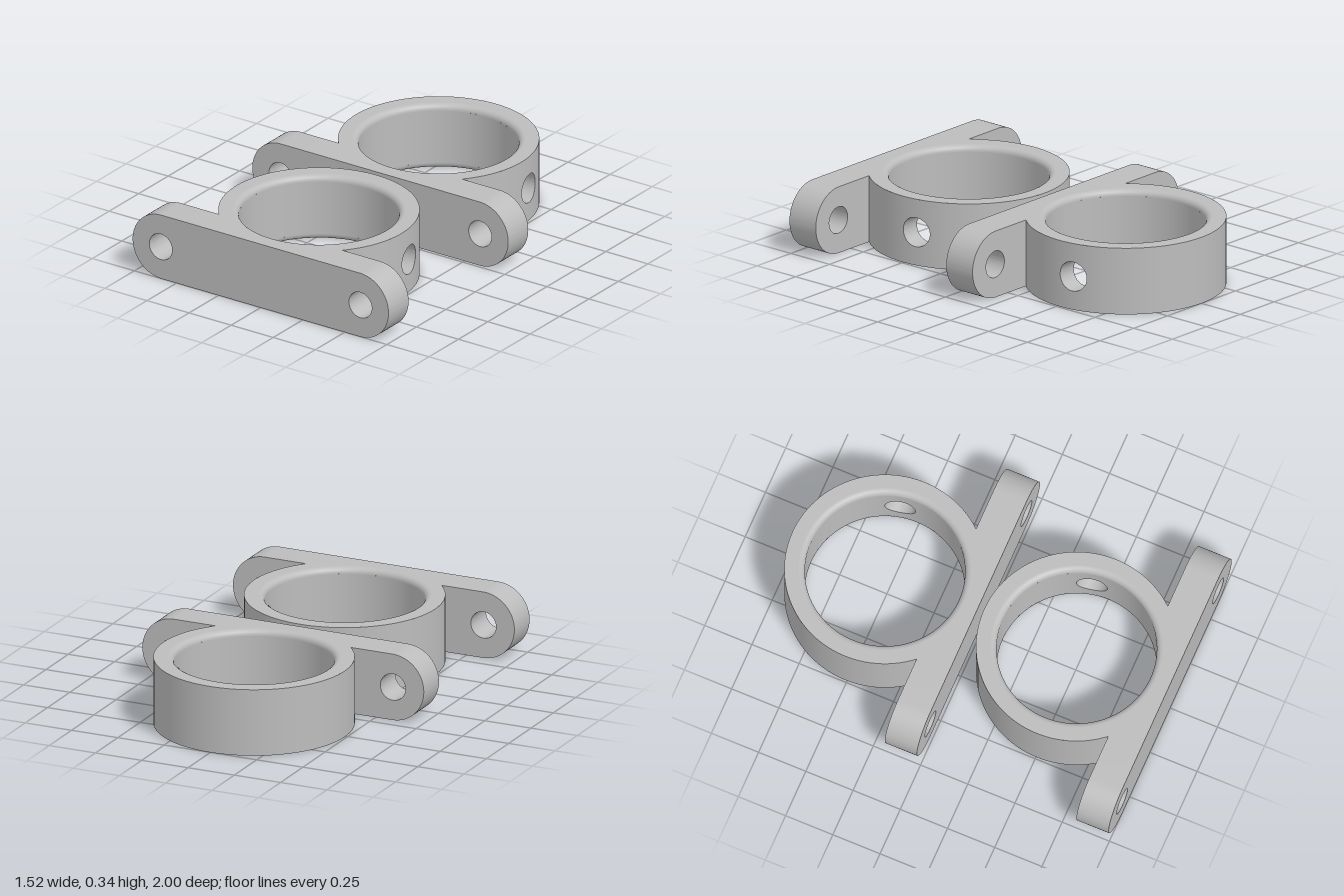
import * as THREE from 'three';
import { toCreasedNormals } from 'three/addons/utils/BufferGeometryUtils.js';
import { ParametricGeometry } from 'three/addons/geometries/ParametricGeometry.js';

const H = 0.34;                       // height of every part
const R = 0.49, BORE = 0.39, F = 0.03; // ring outer radius, bore radius, bore edge rounding
const BACK = 0.325, FRONT = 0.495;    // bar faces, measured from the ring centre
const JOIN = Math.sqrt(R * R - BACK * BACK); // x where the ring meets the bar
const HOLE_Z = -0.08, HOLE_R = 0.075, HALF = 0.1; // side hole and its wall patch

const metal = new THREE.MeshStandardMaterial({ color: 0xbcbcbc, side: THREE.DoubleSide });
metal.name = 'grey metal';

function add(group, name, geometry) {
  const mesh = new THREE.Mesh(geometry, metal);
  mesh.name = name;
  group.add(mesh);
  return mesh;
}

// Revolved wall; points going up face outward, points going down face inward
function wall(points, from = 0, to = Math.PI * 2) {
  const segments = Math.ceil((to - from) / (Math.PI * 2) * 96);
  return new THREE.LatheGeometry(points.map(p => new THREE.Vector2(...p)), segments, from, to - from);
}

// Flat top or bottom face: ring joined to the middle of the bar
function cap(sign) {
  const pts = [];
  const start = Math.acos(BACK / R);
  for (let i = 0; i <= 80; i++) {
    const a = start + (Math.PI * 2 - 2 * start) * i / 80;
    pts.push(new THREE.Vector2(R * Math.sin(a), sign * R * Math.cos(a)));
  }
  pts.push(new THREE.Vector2(-JOIN, sign * FRONT), new THREE.Vector2(JOIN, sign * FRONT));
  const shape = new THREE.Shape(pts);
  shape.holes.push(new THREE.Path().absarc(0, 0, BORE + F, 0, Math.PI * 2, true));
  return new THREE.ShapeGeometry(shape, 48).rotateX(sign * Math.PI / 2);
}

// Patch of ring wall with a cross hole: outer skin, tunnel, inner skin
function holePatch() {
  const rows = 9;
  const geometry = new ParametricGeometry((u, v, target) => {
    const row = Math.round(v * rows);
    const outer = row < 5;
    const t = outer ? row / 4 : (9 - row) / 4;   // 0 at the patch edge, 1 at the hole rim
    const a = u * Math.PI * 2, c = Math.cos(a), s = Math.sin(a);
    const k = 1 / Math.max(Math.abs(c), Math.abs(s));
    const halfH = outer ? H / 2 : H / 2 - F;
    const z = HOLE_Z - THREE.MathUtils.lerp(HALF * k * c, HOLE_R * c, t);
    const y = H / 2 + THREE.MathUtils.lerp(halfH * k * s, HOLE_R * s, t);
    const r = outer ? R : BORE;
    target.set(Math.sqrt(r * r - z * z), y, z);
  }, 64, rows);
  return toCreasedNormals(geometry, 0.6);
}

// Rounded lug with a bolt hole
function lug() {
  const shape = new THREE.Shape();
  shape.moveTo(JOIN, 0);
  shape.lineTo(0.59, 0);
  shape.absarc(0.59, H / 2, H / 2, -Math.PI / 2, Math.PI / 2, false);
  shape.lineTo(JOIN, H);
  shape.closePath();
  shape.holes.push(new THREE.Path().absarc(0.593, H / 2, 0.068, 0, Math.PI * 2, true));
  const depth = FRONT - BACK;
  const geometry = new THREE.ExtrudeGeometry(shape, { depth, bevelEnabled: false, curveSegments: 28 });
  return toCreasedNormals(geometry.translate(0, 0, -depth / 2), 0.5);
}

function bracket() {
  const group = new THREE.Group();
  const edge = (r, z) => Math.acos(z / r);
  const join = edge(R, BACK);
  const z1 = HOLE_Z + HALF, z2 = HOLE_Z - HALF;

  add(group, 'topFace', cap(-1)).position.y = H;
  add(group, 'bottomFace', cap(1));

  // Outer ring wall, left open where the hole patch sits
  const outer = [[R, 0], [R, H]];
  add(group, 'ringOuterWallFront', wall(outer, join, edge(R, z1)));
  add(group, 'ringOuterWallBack', wall(outer, edge(R, z2), Math.PI * 2 - join));
  add(group, 'sideHole', holePatch());

  // Bore with rounded top and bottom edges
  add(group, 'boreWall', wall([[BORE, H - F], [BORE, F]], edge(BORE, z2), Math.PI * 2 + edge(BORE, z1)));
  const top = [], bottom = [];
  for (let i = 0; i <= 8; i++) {
    const a = i / 8 * Math.PI / 2;
    top.push([BORE + F - F * Math.sin(a), H - F + F * Math.cos(a)]);
    bottom.push([BORE + F - F * Math.cos(a), F - F * Math.sin(a)]);
  }
  add(group, 'boreTopEdge', wall(top));
  add(group, 'boreBottomEdge', wall(bottom));

  // Mounting bar
  add(group, 'barFrontFace', new THREE.PlaneGeometry(JOIN * 2, H)).position.set(0, H / 2, FRONT);
  for (const side of [1, -1]) {
    const mesh = add(group, side > 0 ? 'leftLug' : 'rightLug', lug());
    mesh.rotation.y = side > 0 ? 0 : Math.PI;
    mesh.position.z = (FRONT + BACK) / 2;
  }
  return group;
}

export function createModel() {
  const model = new THREE.Group();
  model.name = 'ringBrackets';
  for (const [name, z] of [['frontBracket', 0.505], ['backBracket', -0.51]]) {
    const part = bracket();
    part.name = name;
    part.position.z = z;
    model.add(part);
  }
  return model;
}
